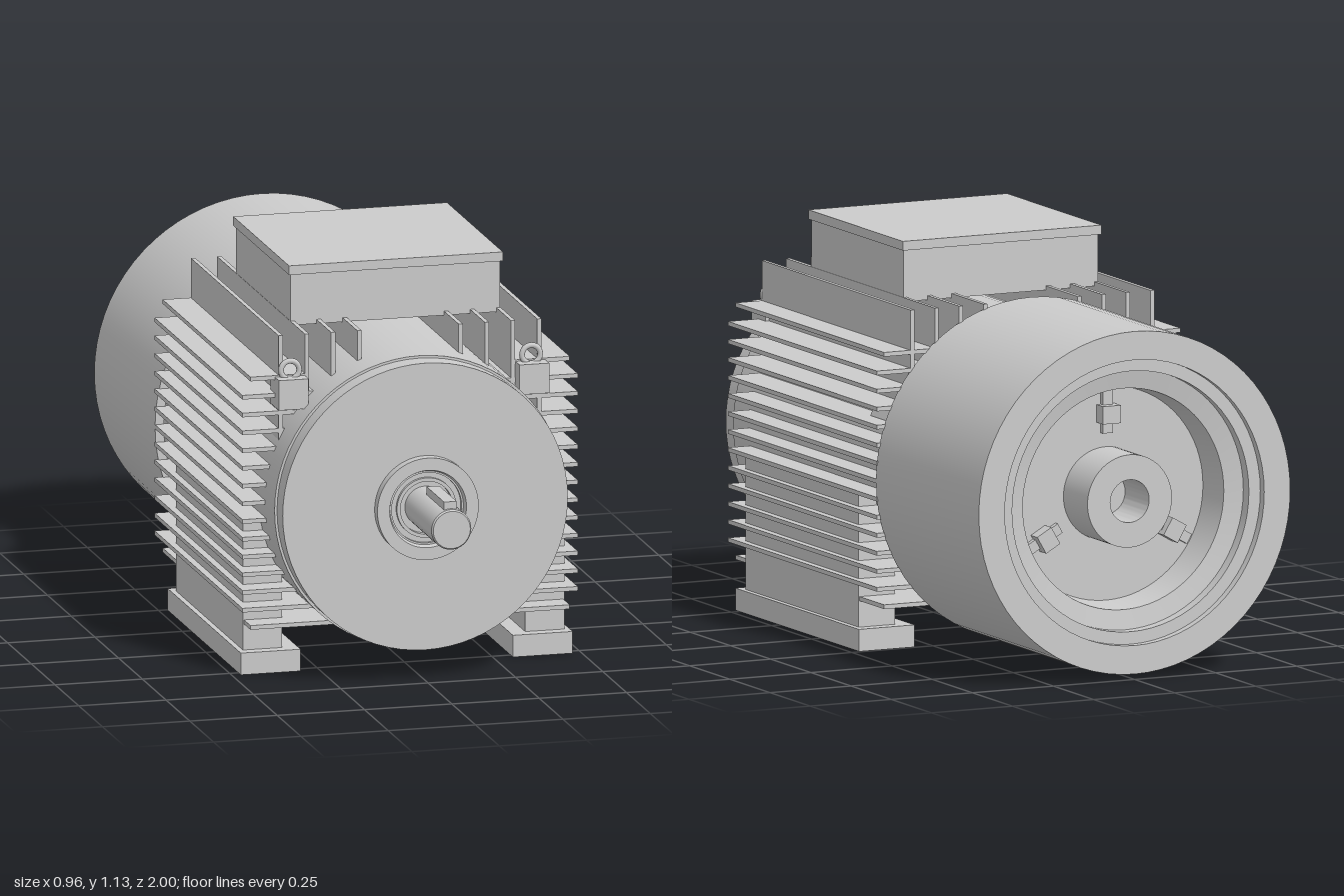
import * as THREE from 'three';
import { toCreasedNormals } from 'three/addons/utils/BufferGeometryUtils.js';

const AXIS = 0.495; // height of the shaft axis
const CORE = 0.415; // radius of the stator barrel
const FRONT = 0.56, REAR = -0.365; // ends of the finned body

export function createModel() {
  const motor = new THREE.Group();
  motor.name = 'electricMotor';
  const grey = new THREE.MeshStandardMaterial({ color: 0xcccccc });

  const add = (name, geometry, parent = motor) => {
    const mesh = new THREE.Mesh(geometry, grey);
    mesh.name = name;
    parent.add(mesh);
    return mesh;
  };
  const group = (name) => {
    const g = new THREE.Group();
    g.name = name;
    motor.add(g);
    return g;
  };
  // Box given by its limits on each axis
  const box = (name, x0, x1, y0, y1, z0, z1, parent) => {
    const mesh = add(name, new THREE.BoxGeometry(x1 - x0, y1 - y0, z1 - z0), parent);
    mesh.position.set((x0 + x1) / 2, (y0 + y1) / 2, (z0 + z1) / 2);
    return mesh;
  };
  // Same box on both sides of the motor
  const pair = (name, x0, x1, y0, y1, z0, z1, parent) => {
    box(name + 'Left', x0, x1, y0, y1, z0, z1, parent);
    box(name + 'Right', -x1, -x0, y0, y1, z0, z1, parent);
  };
  // Turned part on the shaft axis, profile of [radius, z]
  const turned = (name, profile, segments = 72) => {
    const geo = new THREE.LatheGeometry(profile.map(([r, z]) => new THREE.Vector2(r, z)), segments);
    geo.rotateX(Math.PI / 2);
    add(name, toCreasedNormals(geo, 0.5)).position.y = AXIS;
  };

  // Stator barrel and front end shield
  turned('barrel', [[0, -0.79], [0.39, -0.79], [0.39, -0.42], [CORE, -0.4], [CORE, 0.66], [0, 0.66]]);
  turned('endShield', [[0.408, 0.65], [0.408, 0.72], [0.145, 0.72], [0.145, 0.75],
    [0.11, 0.75], [0.105, 0.735], [0.1, 0.735], [0.1, 0.725], [0.085, 0.725],
    [0.085, 0.735], [0.075, 0.735], [0.075, 0.715], [0, 0.715]]);

  // Shaft with its key
  turned('shaft', [[0, 0.7], [0.057, 0.7], [0.057, 0.995], [0.053, 1], [0, 1]], 40);
  box('shaftKey', -0.018, 0.018, AXIS + 0.03, 0.572, 0.8, 0.985);

  // Rear cowl with recessed back, hub and bore
  turned('cowl', [[0, -0.82], [0.06, -0.82], [0.06, -0.97], [0.13, -0.97], [0.13, -0.82], [0.3, -0.82],
    [0.31, -0.93], [0.365, -0.94], [0.365, -0.975], [0.4, -0.975], [0.4, -1], [0.48, -1],
    [0.48, -0.36], [0.455, -0.36], [0.455, -0.8], [0, -0.8]]);

  // Radial bars: cowl brackets on the barrel and lugs in the rear recess
  const radial = (name, degrees, r0, r1, width, z0, z1) => {
    const a = THREE.MathUtils.degToRad(degrees), r = (r0 + r1) / 2;
    const bar = add(name, new THREE.BoxGeometry(r1 - r0, width, z1 - z0));
    bar.position.set(r * Math.cos(a), AXIS + r * Math.sin(a), (z0 + z1) / 2);
    bar.rotation.z = a;
  };
  for (const a of [23, 113, 203, 293]) radial('cowlBracket', a, 0.4, 0.456, 0.042, -0.42, -0.22);
  for (const a of [90, 210, 330]) {
    radial('recessArm', a, 0.17, 0.29, 0.03, -0.835, -0.815);
    radial('recessLug', a, 0.2, 0.25, 0.055, -0.86, -0.815);
  }

  // Horizontal cooling fins on both sides
  const sideFins = group('sideFins');
  for (let k = -7; k <= 7; k++) {
    const dy = k * 0.0505, y = AXIS + dy;
    const outer = Math.abs(k) === 7 ? 0.457 : 0.48;
    const inner = k === 7 ? 0.3 : Math.sqrt(CORE * CORE - dy * dy) - 0.02;
    pair('sideFin', inner, outer, y - 0.006, y + 0.006, REAR, FRONT, sideFins);
  }

  // Vertical cooling fins on top
  const topFins = group('topFins');
  for (const x of [0.145, 0.22, 0.295, 0.37]) {
    const y = AXIS + Math.sqrt(CORE * CORE - x * x) - 0.02;
    pair('topFin', x - 0.006, x + 0.006, y, 0.967, REAR, FRONT, topFins);
  }

  // Terminal box resting on the top fins
  box('terminalBox', -0.3, 0.3, 0.955, 1.102, -0.167, 0.405);
  box('terminalBoxLid', -0.306, 0.306, 1.1, 1.126, -0.177, 0.412);

  // Feet and their pedestals
  pair('foot', 0.304, 0.475, 0, 0.062, -0.245, 0.525);
  pair('pedestal', 0.348, 0.46, 0.06, 0.44, -0.212, 0.492);

  // Lifting eyes at the front shoulders
  pair('liftingLug', 0.302, 0.387, 0.765, 0.85, 0.515, 0.603);
  for (const side of [1, -1]) {
    const eye = add('liftingEye', new THREE.TorusGeometry(0.026, 0.008, 10, 28));
    eye.position.set(side * 0.345, 0.869, 0.565);
  }
  return motor;
}
